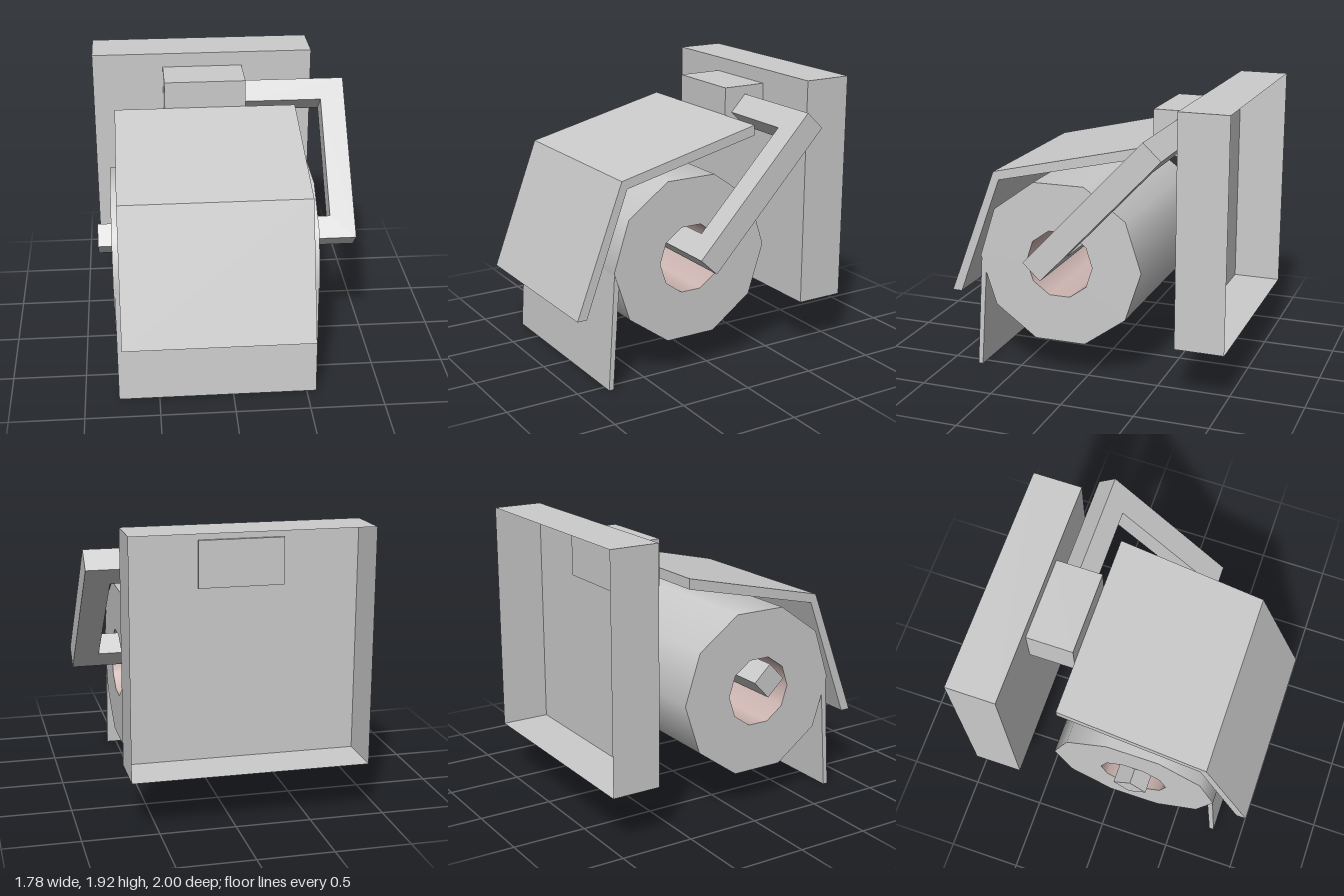
import * as THREE from 'three';

const grey = new THREE.MeshStandardMaterial({ color: 0xcccccc, side: THREE.DoubleSide });
const paper = new THREE.MeshStandardMaterial({ color: 0xffffff });
const card = new THREE.MeshStandardMaterial({ color: 0xd0b8b4, side: THREE.DoubleSide });

const outline = (pts) => new THREE.Shape(pts.map(([x, y]) => new THREE.Vector2(x, y)));

function part(name, geometry, material = grey) {
  const mesh = new THREE.Mesh(geometry, material);
  mesh.name = name;
  return mesh;
}

// Box between two corners
function boxBetween([x0, y0, z0], [x1, y1, z1]) {
  return new THREE.BoxGeometry(x1 - x0, y1 - y0, z1 - z0)
    .translate((x0 + x1) / 2, (y0 + y1) / 2, (z0 + z1) / 2);
}

// Side profile of [z, y] points, extruded along x
function sideProfile(pts, x0, x1) {
  return new THREE.ExtrudeGeometry(outline(pts.map(([z, y]) => [-z, y])), { depth: x1 - x0, bevelEnabled: false })
    .rotateY(Math.PI / 2).translate(x0, 0, 0);
}

// Ten-sided roll: outer wall, two ring ends and a cardboard core
function createRoll() {
  const roll = new THREE.Group();
  roll.name = 'paperRoll';
  const sides = 10, outer = 0.5775, inner = 0.236, width = 1.35;
  const wall = (r) => new THREE.CylinderGeometry(r, r, width, sides, 1, true).rotateZ(Math.PI / 2);
  roll.add(part('rollSurface', wall(outer), paper), part('cardboardCore', wall(inner), card));
  for (const side of [-1, 1]) {
    const end = new THREE.RingGeometry(inner, outer, sides, 1)
      .rotateY(side * Math.PI / 2).translate(side * width / 2, 0, 0);
    roll.add(part(side > 0 ? 'rollEndLeft' : 'rollEndRight', end, paper));
  }
  roll.position.set(-0.105, 0.805, 0.176);
  return roll;
}

// Flat bent bar: short top leg, side leg, long spindle through the roll
function createArm() {
  const length = 1.181, w = 0.16;
  const shape = outline([
    [-0.88, 0], [0.885, 0], [0.885, length], [0.175, length],
    [0.175, length - w], [0.715, length - w], [0.715, w], [-0.88, w],
  ]);
  const arm = part('holderArm', new THREE.ExtrudeGeometry(shape, { depth: 0.163, bevelEnabled: false }));
  arm.rotation.x = -0.756;
  arm.position.set(0, 0.79, 0.18);
  return arm;
}

export function createModel() {
  const model = new THREE.Group();
  model.name = 'toiletPaperHolder';

  // Wall plate: thin shell, open at the back
  const plate = boxBetween([-0.89, 0.355, -1], [0.675, 1.92, -0.665]);
  plate.setIndex(Array.from(plate.index.array).slice(0, 30));
  plate.clearGroups();
  model.add(part('wallPlate', plate));

  // Block that carries the arm and cover
  model.add(part('mountBlock', boxBetween([-0.39, 1.51, -0.685], [0.175, 1.82, -0.348])));

  // Bent cover plate
  model.add(part('cover', sideProfile([
    [-0.348, 1.63], [0.665, 1.39], [1, 0.51], [0.932, 0.51], [0.627, 1.335], [-0.348, 1.56],
  ], -0.74, 0.525)));

  model.add(createArm(), createRoll());

  // Loose end of the paper
  model.add(part('paperSheet', sideProfile([
    [0.749, 0.79], [0.8, 0], [0.767, 0], [0.718, 0.7],
  ], -0.773, 0.565), paper));

  return model;
}
